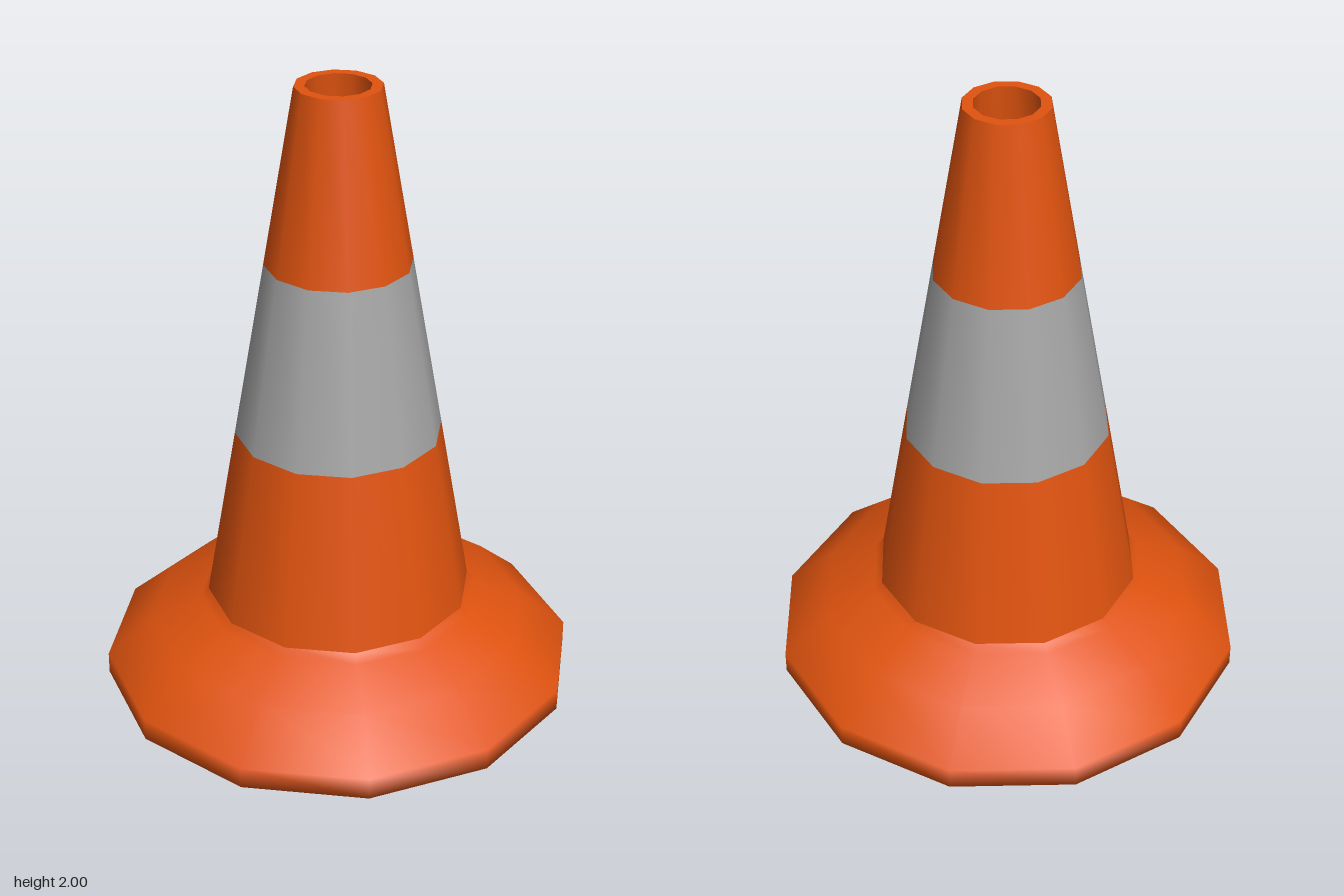
import * as THREE from 'three';

const SIDES = 12;

// Outer radius of the straight cone wall at a given height
const coneRadius = (y) => THREE.MathUtils.mapLinear(y, 0.3, 2, 0.425, 0.133);

export function createModel() {
  const group = new THREE.Group();
  const orange = new THREE.MeshStandardMaterial({ color: 0xe0530f });
  orange.name = 'orange';
  const grey = new THREE.MeshStandardMaterial({ color: 0xa6a6a6 });
  grey.name = 'reflectiveGrey';

  // Each part is a twelve-sided ring turned from a [radius, height] profile
  const addRing = (name, material, profile) => {
    const points = profile.map(([r, y]) => new THREE.Vector2(r, y));
    const mesh = new THREE.Mesh(new THREE.LatheGeometry(points, SIDES), material);
    mesh.name = name;
    group.add(mesh);
  };
  const addCone = (name, material, y0, y1) =>
    addRing(name, material, [[coneRadius(y0), y0], [coneRadius(y1), y1]]);

  // Hollow underside and flared foot, from the inside out
  addRing('base', orange, [
    [0.29, 0.22], [0.69, 0.04], [0.7, 0], [0.76, 0],
    [0.76, 0.07], [0.61, 0.2], [0.45, 0.272], [0.425, 0.3],
  ]);

  // Cone wall with its reflective band
  addCone('lowerCone', orange, 0.3, 0.87);
  addCone('reflectiveBand', grey, 0.87, 1.44);
  addCone('upperCone', orange, 1.44, 2);

  // Flat top rim and inner wall
  addRing('topRim', orange, [[coneRadius(2), 2], [0.1, 2]]);
  addRing('innerWall', orange, [[0.1, 2], [0.29, 0.22]]);

  return group;
}
